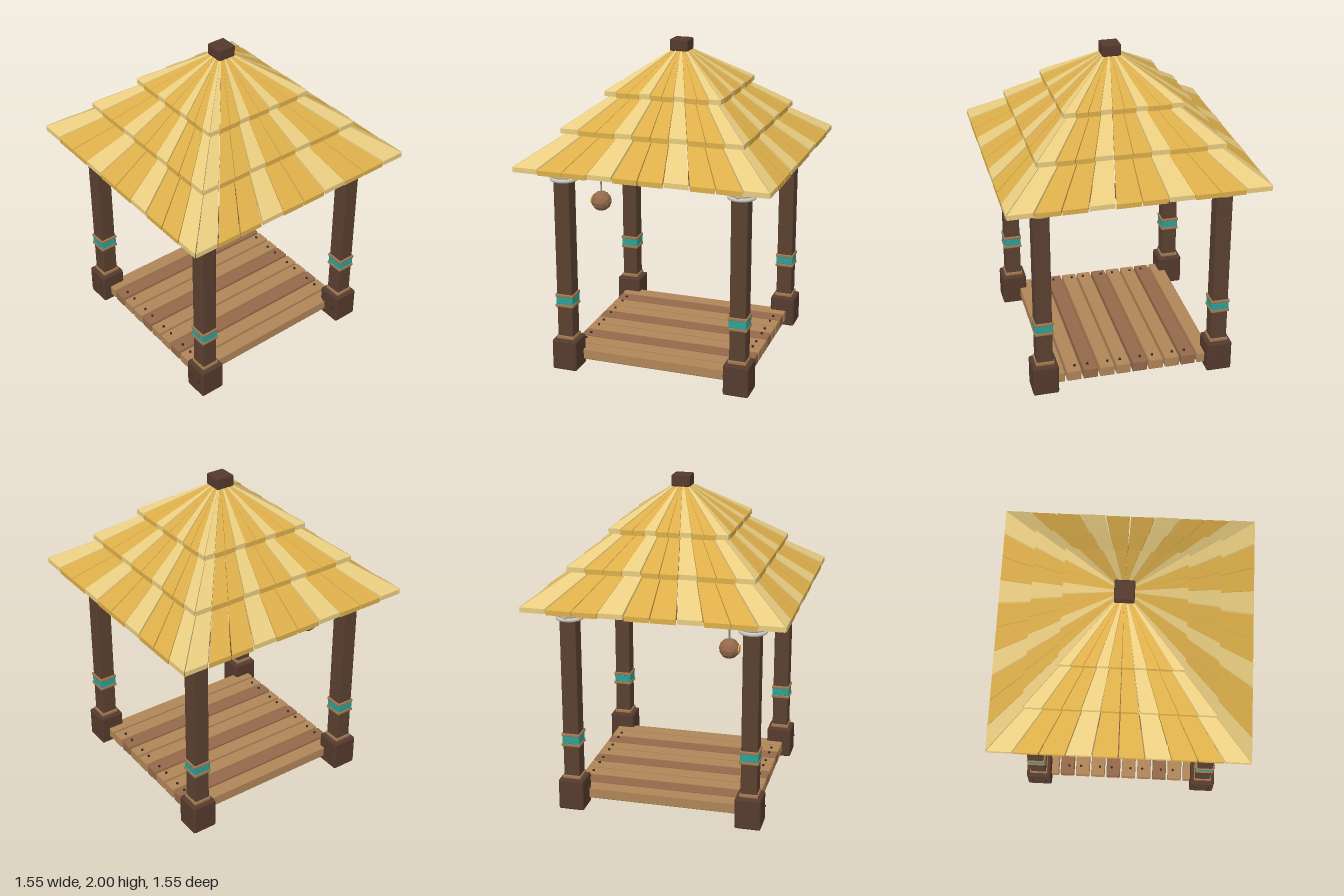
import * as THREE from 'three';
import { RoundedBoxGeometry } from 'three/addons/geometries/RoundedBoxGeometry.js';

const mat = (color, flatShading = false) => new THREE.MeshStandardMaterial({ color, flatShading });
const M = {
  post: mat(0x5a4030), base: mat(0x553a2d), trim: mat(0xa07850), teal: mat(0x2aa198),
  beam: mat(0x86593f), plankA: mat(0xb08558), plankB: mat(0x94694a), nail: mat(0x3a2a22),
  rope: mat(0xcfcac0), cord: mat(0x8a8a86), lantern: mat(0x94694a, true), glow: mat(0xe0aa3c),
  strawLight: mat(0xe8cc80, true), straw: mat(0xdcae4a, true),
};

function add(parent, name, geometry, material, x = 0, y = 0, z = 0) {
  const mesh = new THREE.Mesh(geometry, material);
  mesh.name = name;
  mesh.position.set(x, y, z);
  parent.add(mesh);
  return mesh;
}

// Box with a small bevel, given its width, bottom, top and depth
function block(parent, name, material, w, y0, y1, d, x = 0, z = 0, bevel = 0.006) {
  return add(parent, name, new RoundedBoxGeometry(w, y1 - y0, d, 1, bevel), material, x, (y0 + y1) / 2, z);
}

// Tapered roof board: widens with its distance r from the ridge point
function shingleGeometry(t, halfT, r0, y0, r1, y1, thick) {
  const g = new THREE.BoxGeometry(1, 1, 1).toNonIndexed();
  const p = g.attributes.position;
  for (let i = 0; i < p.count; i++) {
    const k = p.getZ(i) + 0.5;
    const r = r0 + (r1 - r0) * k;
    p.setXYZ(i, r * (t + p.getX(i) * 2 * halfT), y0 + (y1 - y0) * k + (p.getY(i) - 0.5) * thick, r);
  }
  g.computeVertexNormals();
  return g;
}

function makePost(sx, sz) {
  const post = new THREE.Group();
  post.name = 'cornerPost';
  block(post, 'postBase', M.base, 0.16, 0, 0.195, 0.16, 0, 0, 0.012);
  block(post, 'postShaft', M.post, 0.1, 0.15, 1.33, 0.1);
  block(post, 'baseTrim', M.trim, 0.115, 0.197, 0.22, 0.115);
  block(post, 'lowerBandTrim', M.trim, 0.118, 0.41, 0.43, 0.118);
  block(post, 'tealBand', M.teal, 0.11, 0.427, 0.478, 0.11);
  block(post, 'upperBandTrim', M.trim, 0.118, 0.475, 0.495, 0.118);

  // Rope lashing with a knot
  const ring = new THREE.TorusGeometry(0.073, 0.0135, 8, 24).rotateX(Math.PI / 2);
  for (let i = 0; i < 3; i++) {
    add(post, 'ropeRing', ring, M.rope, 0, 1.225 + i * 0.026, 0).scale.setScalar(i === 1 ? 1.04 : 1);
  }
  const knot = new THREE.SphereGeometry(0.016, 10, 8);
  if (sz > 0) add(post, 'ropeKnot', knot, M.rope, 0, 1.25, 0.083);
  else add(post, 'ropeKnot', knot, M.rope, 0.083 * sx, 1.25, 0);

  // Nails on the base
  const nail = new THREE.CylinderGeometry(0.006, 0.006, 0.012, 8).rotateX(Math.PI / 2);
  for (const s of [-1, 1]) add(post, 'baseNail', nail, M.nail, s * 0.045, 0.108, 0.082);

  post.position.set(sx * 0.55, 0, sz * 0.55);
  return post;
}

function makeFloor() {
  const floor = new THREE.Group();
  floor.name = 'floor';
  const nail = new THREE.CylinderGeometry(0.008, 0.008, 0.012, 8);
  for (let i = 0; i < 10; i++) {
    const x = (i - 4.5) * 0.104;
    block(floor, 'floorPlank', i % 3 === 1 ? M.plankB : M.plankA, 0.092, 0.037, 0.105, 1.15, x, 0);
    for (const s of [-1, 1]) add(floor, 'plankNail', nail, M.nail, x + (i % 2 ? 0.012 : -0.012), 0.108, s * 0.52);
  }
  return floor;
}

function makeRoof() {
  const roof = new THREE.Group();
  roof.name = 'roof';
  // Each tier: inner radius, inner height, outer radius, outer height
  const tiers = [
    [0.02, 1.955, 0.36, 1.725],
    [0.2, 1.79, 0.56, 1.53],
    [0.38, 1.605, 0.775, 1.333],
  ];
  const boards = [];
  for (const tier of tiers) {
    for (let i = 0; i < 10; i++) {
      const drop = i % 3 === 0 ? 0 : 0.006;
      const [r0, y0, r1, y1] = tier;
      boards.push([shingleGeometry((i - 4.5) * 0.2, 0.095, r0, y0 - drop, r1, y1 - drop, 0.03),
        i % 3 === 0 ? M.strawLight : M.straw]);
    }
  }
  for (let side = 0; side < 4; side++) {
    const slope = new THREE.Group();
    slope.name = 'roofSlope';
    slope.rotation.y = side * Math.PI / 2;
    for (const [g, m] of boards) add(slope, 'shingle', g, m);
    roof.add(slope);
  }
  block(roof, 'roofCap', M.base, 0.115, 1.928, 2, 0.115, 0, 0, 0.008);
  return roof;
}

function makeLantern(x) {
  const lantern = new THREE.Group();
  lantern.name = 'hangingLantern';
  add(lantern, 'lanternCord', new THREE.CylinderGeometry(0.006, 0.006, 0.22, 8), M.cord, 0, 0.16, 0);
  add(lantern, 'lanternShell', new THREE.IcosahedronGeometry(0.063, 1), M.lantern);
  const disc = new THREE.CylinderGeometry(0.025, 0.025, 0.012, 16).rotateX(Math.PI / 2);
  add(lantern, 'lanternLight', disc, M.glow, 0, 0, 0.056);
  lantern.position.set(x, 1.05, 0.38);
  return lantern;
}

export function createModel() {
  const model = new THREE.Group();
  model.name = 'gazebo';
  model.add(makeFloor(), makeRoof());
  for (const s of [-1, 1]) {
    for (const z of [-1, 1]) model.add(makePost(s, z));
    // Top beams between the posts
    block(model, 'crossBeam', M.beam, 1.06, 1.263, 1.333, 0.07, 0, s * 0.55);
    block(model, 'sideBeam', M.beam, 0.07, 1.263, 1.333, 1.06, s * 0.55, 0);
    model.add(makeLantern(s * 0.39));
  }
  return model;
}
